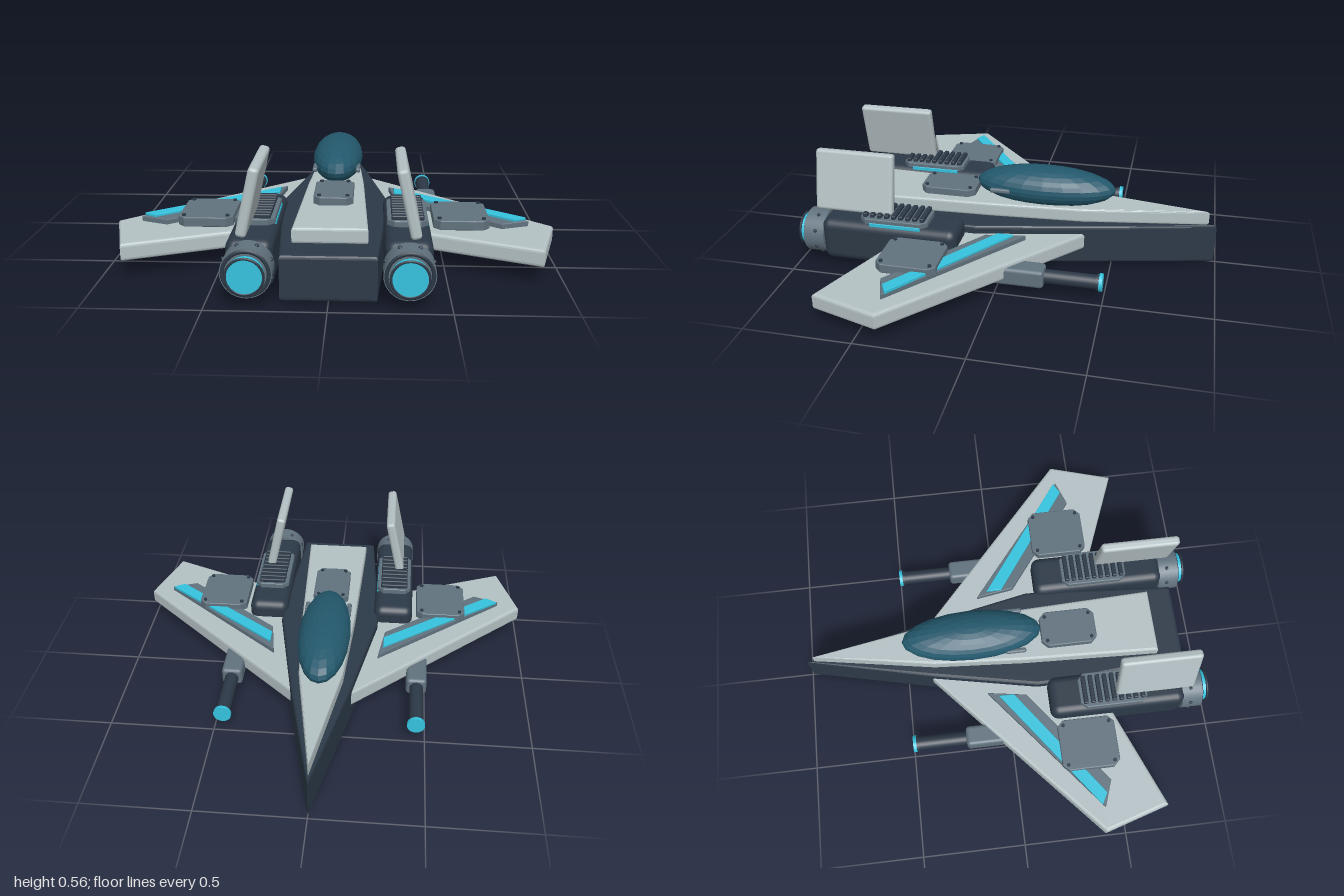
import * as THREE from 'three';
import { RoundedBoxGeometry } from 'three/addons/geometries/RoundedBoxGeometry.js';

const mat = (color, flatShading = false) => new THREE.MeshStandardMaterial({ color, flatShading });
const light = mat(0xb4c1c4), dark = mat(0x2c3947), grey = mat(0x61727e);
const cyan = mat(0x35c3de), glass = mat(0x23586c, true);

function add(parent, name, geometry, material, x = 0, y = 0, z = 0) {
  const mesh = new THREE.Mesh(geometry, material);
  mesh.name = name;
  mesh.position.set(x, y, z);
  parent.add(mesh);
  return mesh;
}

// Horizontal slab with a bevelled edge, from an [x, z] outline
function slab(points, y0, y1, bevel) {
  const shape = new THREE.Shape(points.map(([x, z]) => new THREE.Vector2(x, z)));
  const geometry = new THREE.ExtrudeGeometry(shape, {
    depth: y1 - y0 - 2 * bevel, bevelEnabled: bevel > 0, bevelThickness: bevel,
    bevelSize: bevel, bevelOffset: -bevel, bevelSegments: 3,
  });
  return geometry.rotateX(Math.PI / 2).translate(0, y1 - bevel, 0);
}

// Completes a half outline (nose first) with its mirror image
const symmetric = (nose, side) => [nose, ...side, ...side.map(([x, z]) => [-x, z]).reverse()];

const box = (w, h, d, r) => new RoundedBoxGeometry(w, h, d, 3, r);
const rod = (r, length, sides = 24) => new THREE.CylinderGeometry(r, r, length, sides).rotateX(Math.PI / 2);

// Chamfered access plate with a bolt in each corner
function boltedPlate(name, w, d, h) {
  const group = new THREE.Group();
  group.name = name;
  const a = w / 2, b = d / 2, c = 0.03;
  add(group, 'plate', slab([[-a + c, -b], [a - c, -b], [a, -b + c], [a, b - c],
    [a - c, b], [-a + c, b], [-a, b - c], [-a, -b + c]], 0, h, 0.005), grey);
  for (const sx of [-1, 1]) for (const sz of [-1, 1]) {
    add(group, 'bolt', new THREE.CylinderGeometry(0.009, 0.009, 0.012, 8), dark,
      sx * (a - 0.027), h + 0.002, sz * (b - 0.027));
  }
  return group;
}

function place(parent, child, x, y, z) {
  child.position.set(x, y, z);
  parent.add(child);
}

function createWing(s) {
  const wing = new THREE.Group();
  wing.name = s > 0 ? 'leftWing' : 'rightWing';
  const side = (points) => points.map(([x, z]) => [s * x, z]);
  add(wing, 'wingPanel', slab(side([[0.12, -0.39], [1, 0.39], [0.905, 0.705], [0.43, 0.515],
    [0.15, 0.4]]), 0.08, 0.16, 0.015), light);
  add(wing, 'wingInlay', slab(side([[0.26, -0.1], [0.885, 0.4], [0.76, 0.445], [0.29, 0.09]]),
    0.155, 0.185, 0.005), grey);
  add(wing, 'glowStrip', slab(side([[0.285, -0.045], [0.875, 0.385], [0.82, 0.415], [0.285, 0.03]]),
    0.18, 0.197, 0.003), cyan);
  place(wing, boltedPlate('wingPlate', 0.25, 0.28, 0.045), s * 0.575, 0.17, 0.36);

  // Cannon under the leading edge
  add(wing, 'cannonMount', box(0.1, 0.09, 0.36, 0.018), grey, s * 0.455, 0.095, -0.05);
  add(wing, 'cannonBarrel', rod(0.033, 0.3), dark, s * 0.455, 0.095, -0.335);
  add(wing, 'cannonCollar', rod(0.038, 0.015), dark, s * 0.455, 0.095, -0.475);
  add(wing, 'cannonTip', rod(0.042, 0.016), cyan, s * 0.455, 0.095, -0.488);
  return wing;
}

function createEngine(s) {
  const engine = new THREE.Group();
  engine.name = s > 0 ? 'leftEngine' : 'rightEngine';
  engine.position.set(s * 0.327, 0.142, 0);
  add(engine, 'enginePod', box(0.2, 0.212, 0.67, 0.042), dark, 0, -0.003, 0.535);

  // Nozzle
  add(engine, 'nozzleCollar', rod(0.106, 0.1, 32), grey, 0, 0, 0.908);
  add(engine, 'nozzleRim', new THREE.TorusGeometry(0.094, 0.01, 8, 32), dark, 0, 0, 0.954);
  add(engine, 'exhaustGlow', rod(0.076, 0.04, 32), cyan, 0, 0, 0.974);
  add(engine, 'exhaustRing', new THREE.TorusGeometry(0.076, 0.006, 8, 32), dark, 0, 0, 0.99);
  for (let i = 0; i < 8; i++) {
    const a = (i + 0.5) * Math.PI / 4;
    add(engine, 'collarBolt', new THREE.SphereGeometry(0.009, 8, 6), dark,
      0.106 * Math.cos(a), 0.106 * Math.sin(a), 0.9);
  }

  // Cooling vent on top
  place(engine, boltedPlate('ventBase', 0.175, 0.33, 0.03), 0, 0.1, 0.51);
  for (let i = 0; i < 9; i++) {
    add(engine, 'ventSlat', box(0.14, 0.022, 0.022, 0.006), dark, 0, 0.138, 0.37 + i * 0.035);
  }
  add(engine, 'glowLine', box(0.01, 0.02, 0.25, 0.003), cyan, 0.085, 0.1, 0.5);

  // Inward-leaning tail fin
  const fin = add(engine, 'tailFin', box(0.046, 0.295, 0.385, 0.016), light, -s * 0.005, 0.275, 0.715);
  fin.rotation.z = s * 0.22;
  return engine;
}

export function createModel() {
  const model = new THREE.Group();
  model.name = 'starfighter';

  // Fuselage
  add(model, 'hull', slab(symmetric([0, -0.99],
    [[0.145, -0.37], [0.25, 0.15], [0.25, 0.25], [0.2, 0.905]]), 0, 0.2, 0.015), dark);
  add(model, 'deck', slab(symmetric([0, -0.95],
    [[0.105, -0.35], [0.135, 0.1], [0.16, 0.77]]), 0.2, 0.27, 0.012), light);
  place(model, boltedPlate('deckPlate', 0.18, 0.275, 0.045), 0, 0.262, 0.333);

  // Cockpit
  const canopy = add(model, 'canopy', new THREE.SphereGeometry(1, 20, 14), glass, 0, 0.335, -0.15);
  canopy.scale.set(0.125, 0.095, 0.345);
  for (const s of [-1, 1]) {
    add(model, 'canopyRail', box(0.022, 0.022, 0.1, 0.008), grey, s * 0.105, 0.33, 0.06);
    model.add(createWing(s), createEngine(s));
  }
  return model;
}
